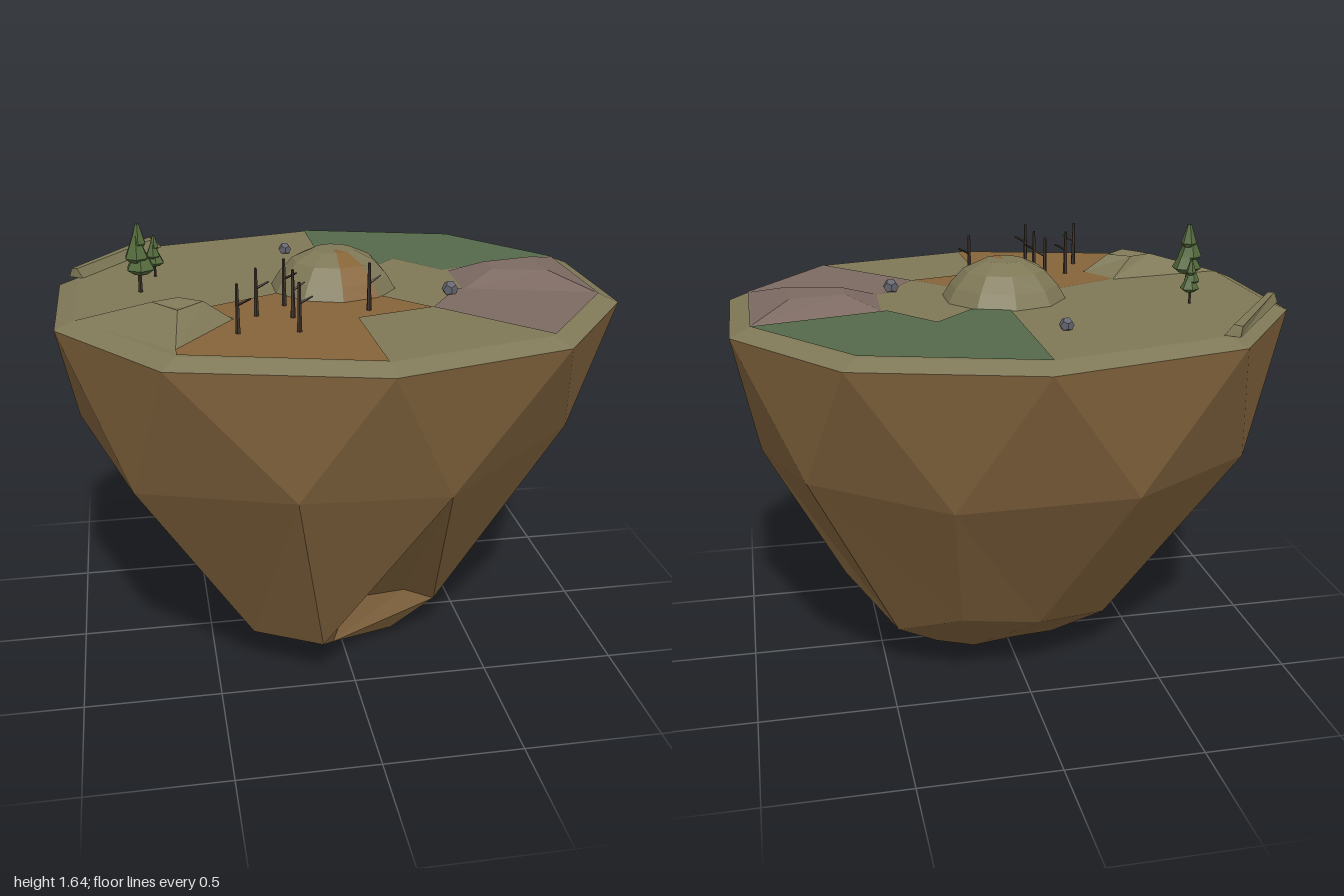
import * as THREE from 'three';

const mat = (color) => new THREE.MeshStandardMaterial({ color, flatShading: true, side: THREE.DoubleSide });
const MAT = {
  rock: mat(0x80623c), grass: mat(0x7f7857), moss: mat(0x55694a), clay: mat(0x866439),
  heath: mat(0x7c6a62), leaf: mat(0x52683a), bark: mat(0x40342a), stone: mat(0x64646e),
};
const GROUND = 1.39;

// Outline points are [x, z], running front -> left -> back -> right of the model
const RIM = [[.037, .925], [.66, .75], [1, .28], [1, -.29], [.66, -.76],
  [.037, -.935], [-.66, -.76], [-1, -.29], [-1, .28], [-.66, .75]];
const at = (outline, y, s = 1) => outline.map(([x, z]) => [x * s, y, z * s]);

function mesh(name, geo, material, pos = [0, 0, 0]) {
  const m = new THREE.Mesh(geo, material);
  m.name = name;
  m.position.set(...pos);
  return m;
}

function fromTriangles(tris) {
  const g = new THREE.BufferGeometry();
  g.setAttribute('position', new THREE.Float32BufferAttribute(tris.flat(2), 3));
  g.computeVertexNormals();
  return g;
}

// Triangles between two rings with equal counts, upper ring first
function band(up, low) {
  return up.flatMap((u, i) => {
    const j = (i + 1) % up.length;
    return [[u, low[i], up[j]], [up[j], low[i], low[j]]];
  });
}
const cap = (ring, c) => ring.map((p, i) => [p, ring[(i + 1) % ring.length], c]);

// Flat-topped mound between two outlines
function mound(name, base, top, height, material) {
  const t = at(top, height);
  const c = [0, 1, 2].map((k) => t.reduce((s, p) => s + p[k], 0) / t.length);
  if (name === 'craterHill') c[1] -= 0.02;
  return mesh(name, fromTriangles([...band(t, at(base, GROUND)), ...cap(t, c)]), material);
}

// Flat coloured area lying on the ground
function patch(name, outline, material) {
  const g = new THREE.ShapeGeometry(new THREE.Shape(outline.map(([x, z]) => new THREE.Vector2(x, -z))));
  g.rotateX(-Math.PI / 2);
  return mesh(name, g, material, [0, GROUND + 0.003, 0]);
}

// Rock body: staggered faceted rings with a ravine in front and a two-lobed foot
function rockBody() {
  const rim = at(RIM, 1.36);
  const mid = [[.28, .86, .75], [.78, .95, .42], [.92, .87, -.05], [.78, .9, -.5], [.32, .86, -.77],
    [-.3, .88, -.8], [-.8, .86, -.44], [-.95, .94, 0], [-.77, .84, .5], [-.25, .91, .82]];
  const low = [[-.12, .17, .5], [.36, .17, .24], [.64, .38, -.13], [.46, .19, -.27], [.25, .31, -.47],
    [-.05, .25, -.43], [-.33, .2, -.3], [-.4, .17, -.08], [-.4, .17, .17], [-.36, .16, .35]];
  const foot = [[-.05, .05, .3], [.2, .03, .2], [.33, .05, 0], [.3, .06, -.15], [.17, .08, -.25],
    [0, .1, -.25], [-.15, .08, -.2], [-.25, .06, -.1], [-.25, .06, .1], [-.15, .06, .25]];
  const ravine = [[.02, .22, .27], [.24, .22, .24]];
  const tris = band(rim, mid);
  for (let i = 0; i < 10; i++) {
    const j = (i + 1) % 10;
    tris.push([mid[(i + 9) % 10], low[i], mid[i]]);
    const edge = i === 0 ? [low[0], ...ravine, low[1]] : [low[i], low[j]];
    for (let k = 0; k + 1 < edge.length; k++) {
      tris.push([mid[i], edge[k], edge[k + 1]], [edge[k], foot[i], edge[k + 1]]);
    }
    tris.push([low[j], foot[i], foot[j]]);
  }
  // Underside: two low points with a shallow valley between
  const right = [-.09, .01, .13], left = [.17, 0, 0], valley = [.03, .05, .05];
  for (let i = 0; i < 10; i++) tris.push([foot[(i + 1) % 10], foot[i], i < 5 ? left : right]);
  tris.push([foot[0], valley, left], [foot[0], right, valley], [foot[5], left, valley], [foot[5], valley, right]);
  return mesh('rockBody', fromTriangles(tris), MAT.rock);
}

function pineTree(x, z, s) {
  const g = new THREE.Group();
  g.name = 'pineTree';
  g.add(mesh('trunk', new THREE.CylinderGeometry(.006, .008, .12, 5), MAT.bark, [0, .06, 0]));
  // Tiers: radius, height, x shift, y, z shift
  for (const [r, h, dx, y, dz] of [[.055, .075, .005, .125, 0], [.045, .08, -.008, .17, .006], [.03, .07, 0, .215, 0]]) {
    g.add(mesh('foliage', new THREE.CylinderGeometry(r * .25, r, h, 6), MAT.leaf, [dx, y, dz]));
    g.add(mesh('foliageUnderside', new THREE.CylinderGeometry(r, r * .5, .02, 6), MAT.leaf, [dx, y - h / 2 - .01, dz]));
  }
  g.position.set(x, GROUND, z);
  g.scale.setScalar(s);
  return g;
}

function deadTree(x, z, turn) {
  const g = new THREE.Group();
  g.name = 'deadTree';
  g.add(mesh('trunk', new THREE.CylinderGeometry(.005, .009, .17, 5), MAT.bark, [0, .085, 0]));
  const branch = mesh('branch', new THREE.CylinderGeometry(.003, .005, .05, 4), MAT.bark, [.022, .11, 0]);
  branch.rotation.z = -1.1;
  g.add(branch);
  g.position.set(x, GROUND, z);
  g.rotation.y = turn;
  return g;
}

export function createModel() {
  const model = new THREE.Group();
  model.name = 'floatingIsland';
  model.add(rockBody());

  // Ground with bevelled rim
  const inner = at(RIM, GROUND, .93);
  model.add(mesh('ground', fromTriangles([...band(inner, at(RIM, 1.36)), ...cap(inner, [0, GROUND, 0])]), MAT.grass));

  // Coloured areas
  model.add(patch('mossArea', [[.02, -.87], [.61, -.7], [.93, -.27], [.45, -.14], [.3, -.335], [.155, -.18], [.02, -.2]], MAT.moss));
  model.add(patch('heathArea', [[.93, -.27], [.93, .26], [.62, .69], [.3, .33], [.43, .13], [.6, .05], [.6, -.06], [.78, -.1]], MAT.heath));
  model.add(patch('clayArea', [[-.2, .06], [-.48, .2], [-.4, .35], [-.61, .64], [-.61, .69], [.03, .86],
    [.02, .41], [.3, .33], [.155, .17], [0, .1]], MAT.clay));

  // Mounds and the raised edge
  model.add(mound('craterHill', [[-.61, .64], [-.4, .35], [-.48, .2], [-.93, .27]],
    [[-.59, .44], [-.5, .35], [-.58, .29], [-.67, .33]], 1.46, MAT.grass));
  model.add(mound('heathHill', [[.46, .13], [.93, .26], [.93, -.26], [.47, -.13]],
    [[.59, .05], [.79, .1], [.79, -.1], [.59, -.06]], 1.44, MAT.heath));
  model.add(mound('raisedEdge', [[-.91, -.26], [-.6, -.69], [-.64, -.73], [-.96, -.29]],
    [[-.93, -.27], [-.63, -.69], [-.65, -.72], [-.95, -.28]], 1.425, MAT.grass));

  // Dome with one clay-coloured sector
  const profile = [[.23, GROUND], [.2, 1.44], [.15, 1.495], [.075, 1.53], [0, 1.53]].map((p) => new THREE.Vector2(...p));
  const step = Math.PI / 5;
  model.add(mesh('dome', new THREE.LatheGeometry(profile, 9, step, 9 * step), MAT.grass));
  model.add(mesh('domeClaySector', new THREE.LatheGeometry(profile, 1, 0, step), MAT.clay));

  // Trees and stones
  model.add(pineTree(-.7, -.04, 1), pineTree(-.64, -.24, .63));
  [[-.21, .225], [-.32, .33], [-.2, .37], [-.4, .51], [-.2, .525], [.07, .33]]
    .forEach(([x, z], i) => model.add(deadTree(x, z, (i % 3) * .3 - .3)));
  for (const [x, z, r] of [[-.11, -.51, .026], [.4, .17, .03]]) {
    model.add(mesh('stone', new THREE.DodecahedronGeometry(r), MAT.stone, [x, GROUND + r * .6, z]));
  }
  return model;
}
